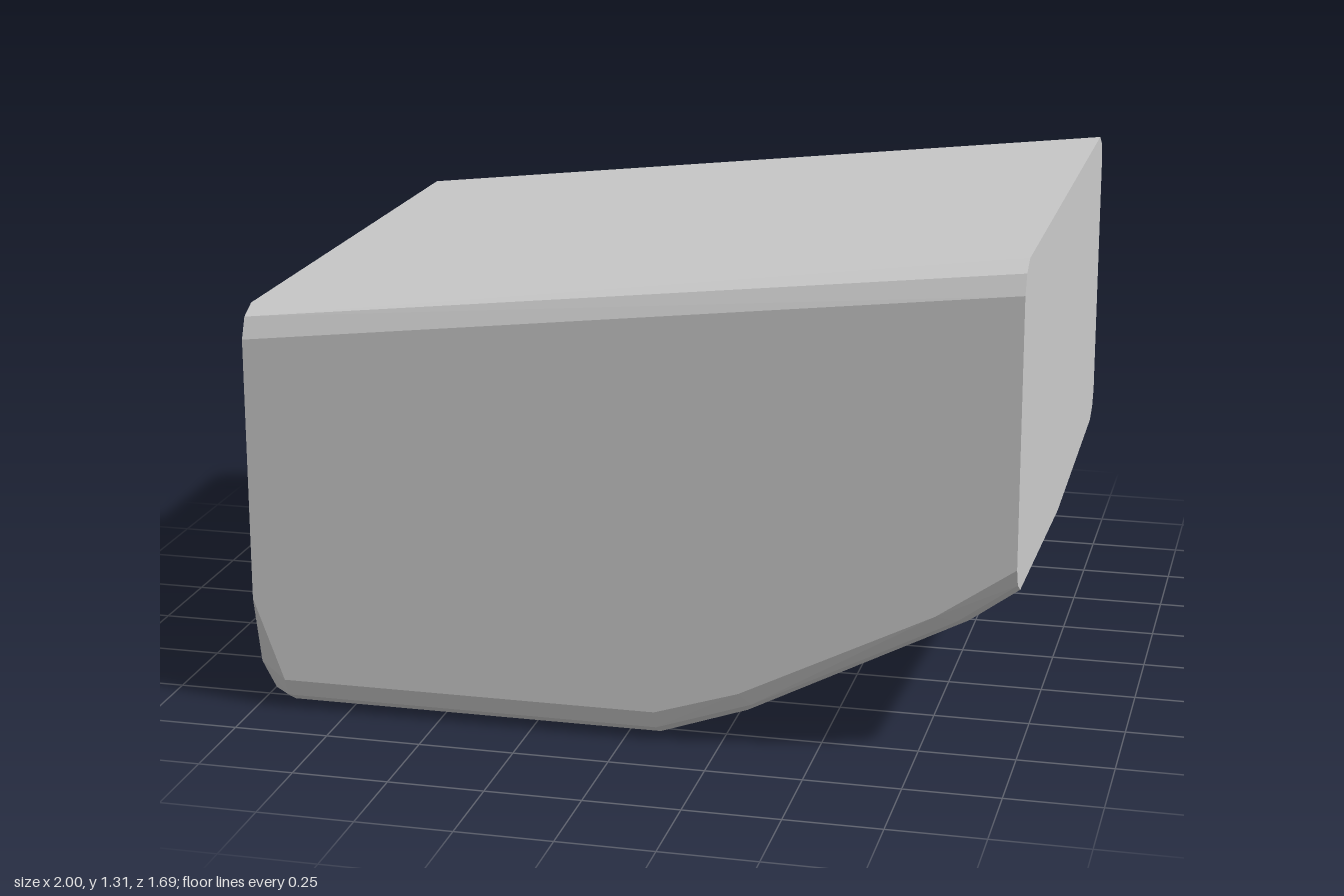
import * as THREE from 'three';
import { ConvexGeometry } from 'three/addons/geometries/ConvexGeometry.js';

// Depth of the three rows that form each rounded long edge
const FLAT = 0.77, BEVEL = 0.82, SIDE = 0.843;

// Corners on one side [x, y, z]; each is mirrored to the other side
const corners = [
  // sloping top, left end and right end
  [-1, 1.08, FLAT], [-1, 1.055, BEVEL], [-1, 1.0, SIDE],
  [1, 1.307, FLAT], [1, 1.28, BEVEL], [1, 1.23, SIDE],
  // tapered lower corner of the left end
  [-1, 0.3, SIDE], [-1, 0.11, 0.795], [-1, 0.08, FLAT],
  [-0.97, 0.03, 0.775], [-0.92, 0, FLAT], [-0.92, 0.03, BEVEL], [-0.92, 0.08, SIDE],
  // flat bottom up to the first bend
  [0.08, 0, FLAT], [0.08, 0.03, BEVEL], [0.08, 0.08, SIDE],
  // second bend
  [0.31, 0.08, FLAT], [0.33, 0.115, BEVEL], [0.3, 0.15, SIDE],
  // rising underside and its chamfer into the right end
  [0.87, 0.36, 0.74], [0.85, 0.38, 0.81], [0.8, 0.4, SIDE],
  [1, 0.462, FLAT], [1, 0.49, BEVEL], [1, 0.537, SIDE],
];

export function createModel() {
  const points = [new THREE.Vector3(1, 0.425, 0)]; // lowest point of the right end
  for (const [x, y, z] of corners) {
    for (const s of [1, -1]) points.push(new THREE.Vector3(x, y, z * s));
  }
  const body = new THREE.Mesh(
    new ConvexGeometry(points),
    new THREE.MeshStandardMaterial({ color: 0xcccccc, flatShading: true })
  );
  body.name = 'bevelledBody';
  const group = new THREE.Group();
  group.name = 'bevelledBlock';
  group.add(body);
  return group;
}
